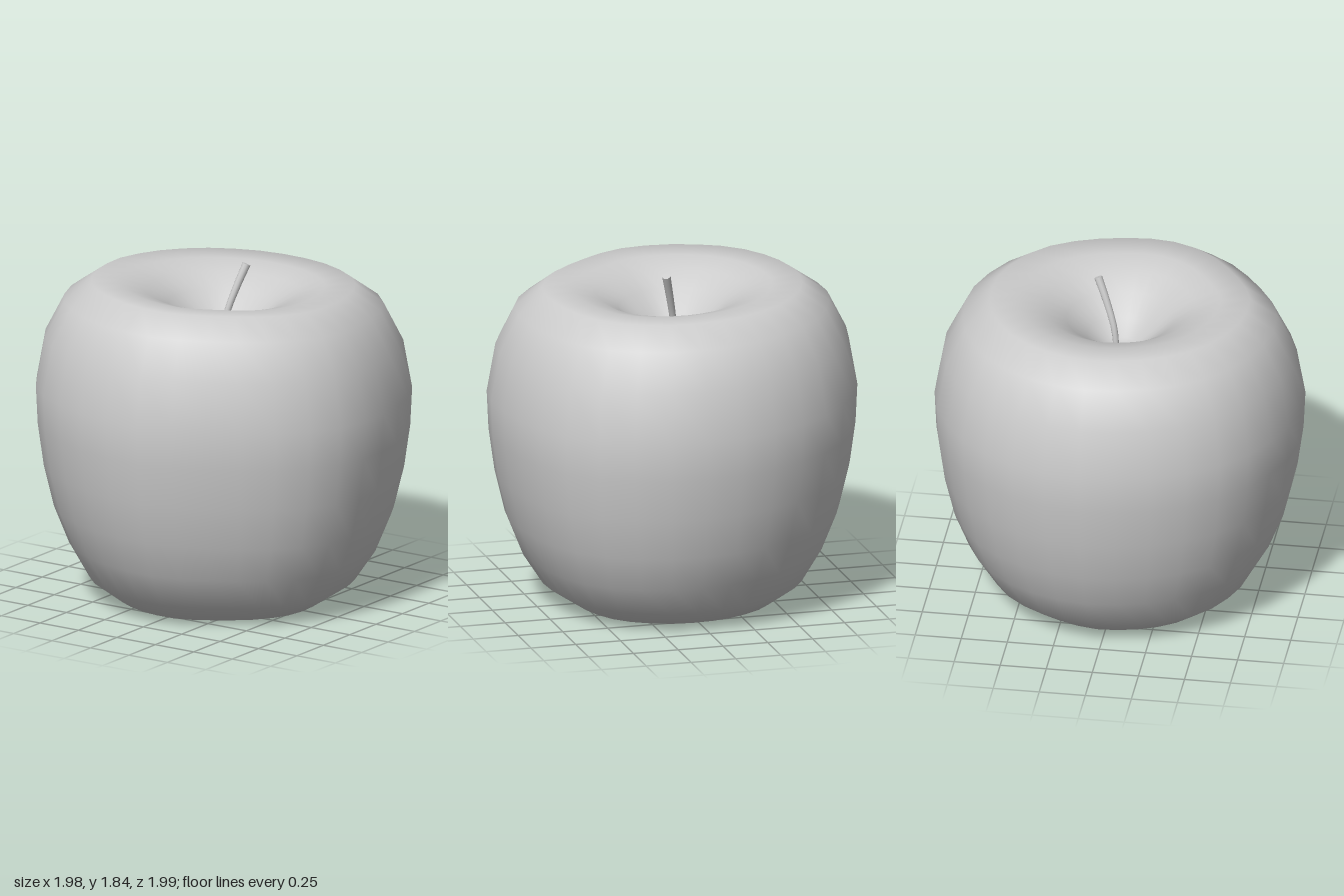
import * as THREE from 'three';
import { mergeVertices } from 'three/addons/utils/BufferGeometryUtils.js';

const SIDES = 32;
const START = THREE.MathUtils.degToRad(4.5); // angle of the first side, from +x towards +z

// Radius factor of each side: slightly flat front left, slightly full back left
const LUMPS = [
  0.99, 0.995, 0.985, 0.968, 0.949, 0.949, 0.971, 0.995,
  0.995, 0.996, 0.998, 1.009, 1.009, 1.002, 0.996, 0.996,
  1.005, 1.0, 1.0, 0.998, 1.0, 0.995, 1.0, 1.002,
  1.01, 1.021, 1.025, 1.032, 1.027, 1.005, 0.988, 0.98,
];

// Half section [radius, height] from the bottom dimple, up the side, into the top dimple
const PROFILE = [
  [0, 0.16], [0.1, 0.15], [0.21, 0.1], [0.32, 0.04], [0.44, 0.004], [0.56, 0.015],
  [0.71, 0.12], [0.82, 0.3], [0.9, 0.5], [0.955, 0.73], [0.987, 0.96], [0.997, 1.17],
  [0.95, 1.435], [0.847, 1.64], [0.7, 1.745], [0.54, 1.738], [0.41, 1.7], [0.29, 1.63],
  [0.18, 1.53], [0.09, 1.46], [0, 1.43],
];

// Lathe whose radius varies round the axis and whose upper part leans gently
function fleshGeometry() {
  const points = PROFILE.map(([r, y]) => new THREE.Vector2(r, y));
  const lathe = new THREE.LatheGeometry(points, SIDES, Math.PI / 2 - START);
  const pos = lathe.attributes.position;
  for (let i = 0; i < pos.count; i++) {
    let x = pos.getX(i), z = pos.getZ(i);
    const y = pos.getY(i);
    const step = Math.round((Math.atan2(z, x) - START) / (Math.PI * 2 / SIDES));
    const k = LUMPS[(step + SIDES) % SIDES];
    x *= k;
    z *= k;
    const lean = Math.min(1, y / 0.3);
    pos.setXYZ(i, x, y + lean * (-0.025 * x + 0.022 * z), z);
  }
  lathe.deleteAttribute('normal');
  lathe.deleteAttribute('uv');
  const geometry = mergeVertices(lathe, 1e-4); // closes the seam for smooth normals
  geometry.computeVertexNormals();
  return geometry;
}

// Tapered cylinder bent along a curve
function stemGeometry() {
  const curve = new THREE.CatmullRomCurve3([
    new THREE.Vector3(-0.012, 1.4, -0.018),
    new THREE.Vector3(0.002, 1.56, -0.035),
    new THREE.Vector3(0.035, 1.71, -0.083),
    new THREE.Vector3(0.067, 1.832, -0.132),
  ]);
  const geometry = new THREE.CylinderGeometry(0.023, 0.015, 1, 10, 8);
  const pos = geometry.attributes.position, nor = geometry.attributes.normal;
  const up = new THREE.Vector3(0, 1, 0), v = new THREE.Vector3(), q = new THREE.Quaternion();
  for (let i = 0; i < pos.count; i++) {
    const t = THREE.MathUtils.clamp(pos.getY(i) + 0.5, 0, 1);
    q.setFromUnitVectors(up, curve.getTangent(t));
    v.set(pos.getX(i), 0, pos.getZ(i)).applyQuaternion(q).add(curve.getPoint(t));
    pos.setXYZ(i, v.x, v.y, v.z);
    v.fromBufferAttribute(nor, i).applyQuaternion(q);
    nor.setXYZ(i, v.x, v.y, v.z);
  }
  return geometry;
}

export function createModel() {
  const grey = new THREE.MeshStandardMaterial({ color: 0xcccccc });
  grey.name = 'light grey';

  const group = new THREE.Group();
  group.name = 'apple';
  const parts = { flesh: fleshGeometry(), stem: stemGeometry() };
  for (const [name, geometry] of Object.entries(parts)) {
    const mesh = new THREE.Mesh(geometry, grey);
    mesh.name = name;
    group.add(mesh);
  }
  return group;
}
